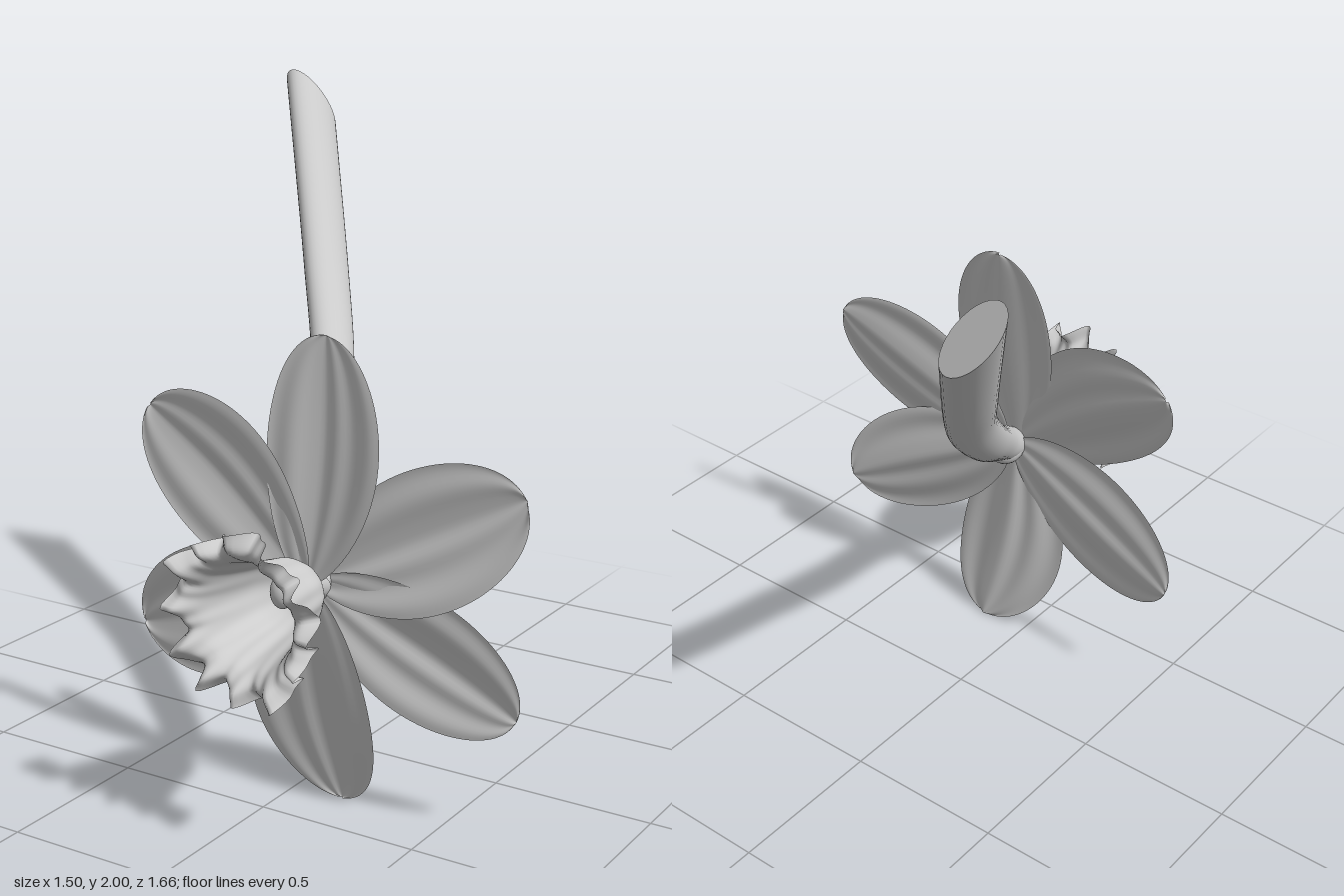
import * as THREE from 'three';
import { ParametricGeometry } from 'three/addons/geometries/ParametricGeometry.js';

const material = new THREE.MeshStandardMaterial({ color: 0xcccccc, side: THREE.DoubleSide });
const CENTRE = new THREE.Vector3(0.105, 0.68, 0);
const TAU = Math.PI * 2;

function part(parent, name, geometry) {
  const mesh = new THREE.Mesh(geometry, material);
  mesh.name = name;
  parent.add(mesh);
  return mesh;
}

// Petal outline: broad from the base, rounded at the tip
function petalWidth(s) {
  const widest = 0.55;
  return s < widest
    ? Math.pow(Math.sin((Math.PI / 2) * (s / widest)), 0.6)
    : Math.sqrt(1 - Math.pow((s - widest) / (1 - widest), 2));
}

// Petal: cupped blade along +x with a central groove, bowed sideways and leaning back
function petalGeometry({ length, width, zBase, zTip, twist, bend }) {
  return new ParametricGeometry((u, v, p) => {
    const side = u * 2 - 1;
    const s = 0.002 + 0.9975 * Math.sin(v * Math.PI / 2);
    const fade = Math.sin(Math.PI * Math.min(1, s * 0.85 + 0.05));
    const groove = 0.018 * side * side - 0.014 * Math.exp(-side * side * 30)
      + 0.005 * Math.cos(side * 9 + 1);
    const z = zBase + (zTip - zBase) * Math.pow(s, 1.3) + groove * fade + twist * side * fade;
    p.set(s * length, side * width * petalWidth(s) + bend * Math.sin(Math.PI * s), z);
  }, 28, 36);
}

// Stem: oval section that widens along a curve and ends in a slanted cut
function stemRing() {
  const path = new THREE.CatmullRomCurve3([
    [0.11, 0.68, 0.4], [0.08, 0.74, 0.3], [-0.03, 0.89, 0.1],
    [-0.203, 1.165, -0.2], [-0.367, 1.41, -0.42], [-0.674, 1.895, -0.805],
  ].map((a) => new THREE.Vector3(...a)));
  return (t, angle, scale, p) => {
    const tangent = path.getTangent(t);
    const short = new THREE.Vector3(tangent.y, -tangent.x, 0).normalize();
    const long = new THREE.Vector3().crossVectors(tangent, short);
    if (long.y > 0) long.negate();
    const c = Math.cos(angle) * scale;
    p.copy(path.getPoint(t))
      .addScaledVector(long, c * (0.05 + 0.045 * t))
      .addScaledVector(short, Math.sin(angle) * scale * 0.055)
      .addScaledVector(tangent, -c * 0.08 * Math.pow(t, 6));
  };
}

// Trumpet: bell profile whose flutes grow into a ruffled, flared rim
function trumpetGeometry() {
  const profile = new THREE.CatmullRomCurve3([
    [0.02, 0.42], [0.075, 0.45], [0.105, 0.5], [0.122, 0.58],
    [0.14, 0.66], [0.165, 0.73], [0.2, 0.765], [0.242, 0.745],
  ].map(([r, z]) => new THREE.Vector3(r, z, 0)));
  return new ParametricGeometry((u, v, p) => {
    const a = u * TAU;
    const q = profile.getPoint(v);
    const ruffle = Math.pow(v, 5);
    const wave = Math.cos(12 * a + 0.7 * Math.sin(3 * a));
    const r = q.x * (1 + 0.035 * v * wave) + ruffle * 0.012 * Math.sin(5 * a + 1);
    const z = q.y + ruffle * (0.045 * wave + 0.02 * Math.cos(a - 0.6) + 0.014 * Math.cos(24 * a));
    p.set(r * Math.cos(a), r * Math.sin(a), z);
  }, 168, 40);
}

export function createModel() {
  const model = new THREE.Group();
  model.name = 'flower';

  // Six petals: three in front, three behind
  const petals = new THREE.Group();
  petals.name = 'petals';
  petals.position.copy(CENTRE);
  model.add(petals);
  const front = { zBase: 0.42, zTip: 0.335 };
  const back = { zBase: 0.38, zTip: 0.3 };
  [
    ['topPetal', 89, 0.71, 0.195, -0.015, -0.03, front],
    ['upperLeftFacingPetal', 145, 0.745, 0.2, 0.01, -0.035, front],
    ['lowerLeftFacingPetal', 202, 0.705, 0.2, 0.01, 0.01, { zBase: 0.4, zTip: 0.33 }],
    ['bottomPetal', 274.5, 0.68, 0.205, 0.01, -0.04, { zBase: 0.425, zTip: 0.325 }],
    ['lowerRightFacingPetal', -28, 0.69, 0.185, -0.01, 0.005, back],
    ['upperRightFacingPetal', 27, 0.705, 0.2, -0.01, -0.005, back],
  ].forEach(([name, degrees, length, width, twist, bend, depth]) => {
    const petal = part(petals, name, petalGeometry({ length, width, twist, bend, ...depth }));
    petal.rotation.z = THREE.MathUtils.degToRad(degrees);
  });

  // Trumpet
  part(model, 'trumpet', trumpetGeometry()).position.copy(CENTRE);

  // Pistil deep inside the trumpet
  const style = part(model, 'style', new THREE.CylinderGeometry(0.016, 0.02, 0.1, 16));
  style.rotation.x = Math.PI / 2;
  style.position.set(0.095, 0.685, 0.46);
  const stigma = part(model, 'stigma', new THREE.SphereGeometry(0.04, 20, 14));
  stigma.scale.set(0.9, 1.25, 0.9);
  stigma.position.set(0.09, 0.69, 0.52);

  // Swelling behind the petals
  const ovary = part(model, 'ovary', new THREE.SphereGeometry(0.055, 20, 14));
  ovary.scale.z = 1.2;
  ovary.position.set(0.105, 0.68, 0.37);

  // Stem and its cut end
  const ring = stemRing();
  part(model, 'stem', new ParametricGeometry((u, v, p) => ring(v, u * TAU, 1, p), 32, 40));
  part(model, 'stemCutEnd', new ParametricGeometry((u, v, p) => ring(1, u * TAU, 1 - v * 0.999, p), 32, 2));

  return model;
}
